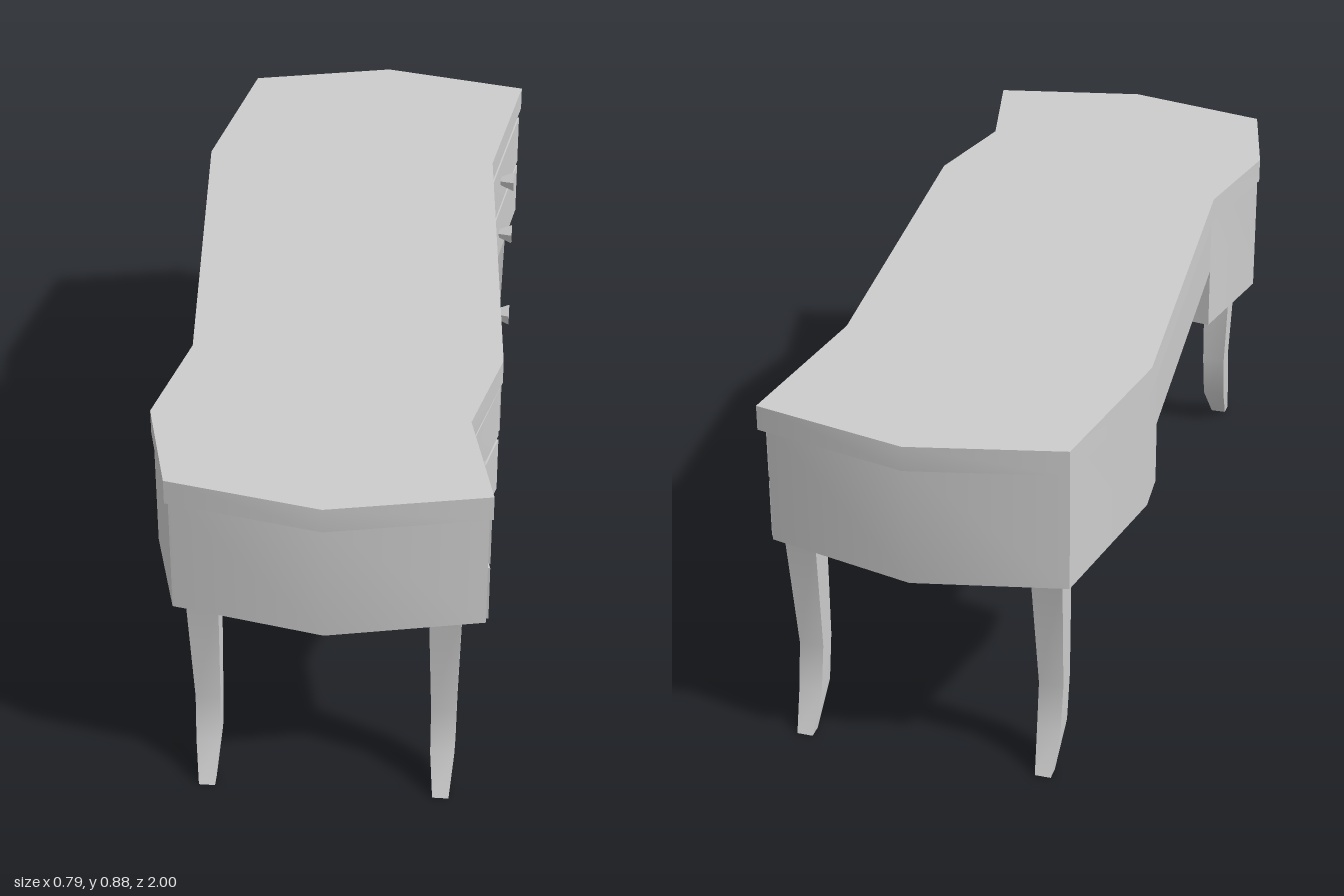
import * as THREE from 'three';
import { toCreasedNormals } from 'three/addons/utils/BufferGeometryUtils.js';

const grey = new THREE.MeshStandardMaterial({ color: 0xcccccc });
grey.name = 'grey';

// Creases stay sharp, gentle bends stay smooth
function addMesh(parent, name, geometry, crease = 0.65) {
  const mesh = new THREE.Mesh(toCreasedNormals(geometry, crease), grey);
  mesh.name = name;
  parent.add(mesh);
  return mesh;
}

// Upright prism over a plan outline of [x, z] points
function prism(points, bottom, top) {
  const shape = new THREE.Shape(points.map(([x, z]) => new THREE.Vector2(x, -z)));
  const g = new THREE.ExtrudeGeometry(shape, { depth: top - bottom, bevelEnabled: false });
  g.rotateX(-Math.PI / 2);
  g.translate(0, bottom, 0);
  return g;
}

// Thin drawer front that follows the plan line of the carcass
function drawerFront(line, bottom, top) {
  const outer = line.map(([x, z]) => [x + 0.007, z]);
  const inner = line.map(([x, z]) => [x - 0.002, z]).reverse();
  return prism([...outer, ...inner], bottom, top);
}

// Curved leg: a box whose four rings follow [y, inner z, outer z, half width]
function legGeometry(x, side, shift) {
  const rings = [
    [0, 0.877, 0.911, 0.019],
    [0.095, 0.807, 0.862, 0.028],
    [0.21, 0.788, 0.842, 0.029],
    [0.53, 0.807, 0.882, 0.037],
  ];
  const g = new THREE.BoxGeometry(1, 1, 1, 1, 3, 1);
  const p = g.attributes.position;
  for (let i = 0; i < p.count; i++) {
    const [y, zIn, zOut, half] = rings[Math.round((p.getY(i) + 0.5) * 3)];
    const outward = p.getZ(i) * side > 0;
    p.setXYZ(i, x + Math.sign(p.getX(i)) * half, y, side * ((outward ? zOut : zIn) - shift));
  }
  return g;
}

export function createModel() {
  const desk = new THREE.Group();
  desk.name = 'desk';

  // Desktop slab
  addMesh(desk, 'desktop', prism([
    [0.03, -1], [0.392, -0.92], [0.33, -0.51], [0.392, 0.4], [0.33, 0.65], [0.392, 0.925],
    [0.03, 1], [-0.32, 0.925], [-0.385, 0.665], [-0.325, 0.395], [-0.395, -0.51], [-0.32, -0.92],
  ], 0.825, 0.885));

  // Carcass: two pedestals joined by a shallow apron
  const frontInner = [[-0.32, 0.4], [0.03, 0.45], [0.383, 0.4]];
  const backInner = [[0.332, -0.4], [-0.02, -0.45], [-0.382, -0.4]];
  addMesh(desk, 'frontPedestal', prism([
    ...frontInner, [0.323, 0.65], [0.383, 0.905], [0.03, 0.98], [-0.315, 0.905], [-0.38, 0.665],
  ], 0.525, 0.825));
  addMesh(desk, 'backPedestal', prism([
    ...backInner, [-0.39, -0.51], [-0.315, -0.9], [0.03, -0.975], [0.383, -0.89], [0.325, -0.51],
  ], 0.525, 0.825));
  addMesh(desk, 'apron', prism([...frontInner, ...backInner], 0.68, 0.825));

  // Drawer fronts
  const frontLine = [[0.38, 0.411], [0.323, 0.65], [0.381, 0.897]];
  const backLine = [[0.381, -0.882], [0.325, -0.51], [0.3315, -0.408]];
  const midLine = [[0.333, -0.392], [0.382, 0.392]];
  for (const [name, line] of [['front', frontLine], ['back', backLine]]) {
    addMesh(desk, name + 'UpperDrawer', drawerFront(line, 0.684, 0.818));
    addMesh(desk, name + 'LowerDrawer', drawerFront(line, 0.531, 0.672));
  }
  addMesh(desk, 'middleDrawer', drawerFront(midLine, 0.684, 0.82));

  // Five-sided knobs that widen outward
  const knobs = [
    [0.33, 0.76, 0.655], [0.33, 0.6, 0.655],
    [0.35, 0.76, -0.64], [0.35, 0.6, -0.64],
    [0.36, 0.76, 0.005],
  ];
  for (const [x, y, z] of knobs) {
    const g = new THREE.CylinderGeometry(0.026, 0.011, 0.036, 5, 1, false, -Math.PI / 2);
    g.rotateZ(-Math.PI / 2);
    addMesh(desk, 'knob', g).position.set(x + 0.016, y, z);
  }

  // Four curved legs
  addMesh(desk, 'frontLeftLeg', legGeometry(0.2925, 1, 0));
  addMesh(desk, 'frontRightLeg', legGeometry(-0.2525, 1, 0));
  addMesh(desk, 'backLeftLeg', legGeometry(0.3275, -1, 0.014));
  addMesh(desk, 'backRightLeg', legGeometry(-0.2525, -1, 0.014));

  return desk;
}
